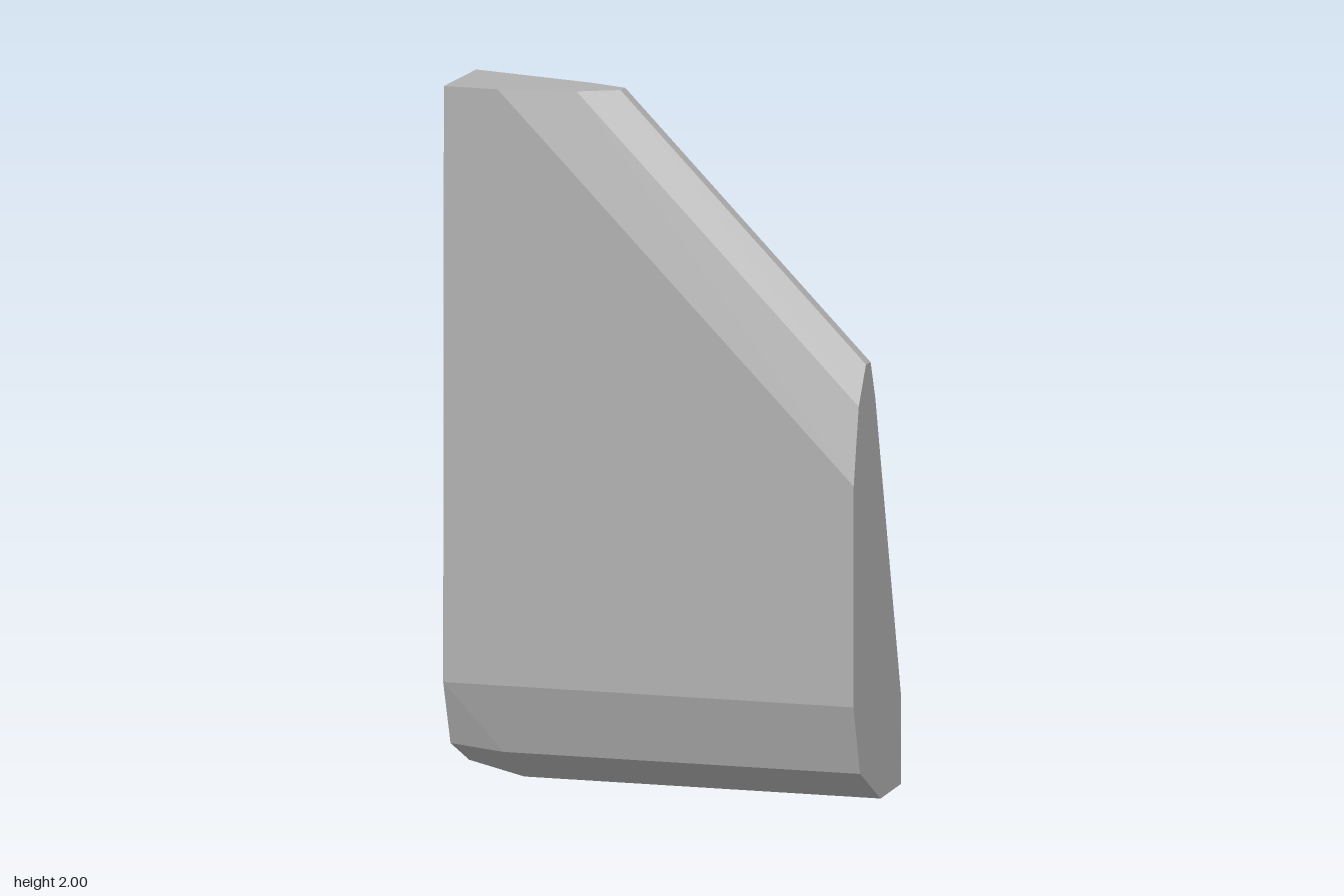
import * as THREE from 'three';
import { ConvexGeometry } from 'three/addons/geometries/ConvexGeometry.js';

export function createModel() {
  const group = new THREE.Group();
  const grey = new THREE.MeshStandardMaterial({ color: 0xb0b0b0 });
  grey.name = 'plain grey';

  // flat top outline: [x, z]
  const top = [[-0.61, -0.08], [-0.24, 0.01], [-0.12, 0.055], [-0.12, 0.095],
    [-0.23, 0.155], [-0.45, 0.197], [-0.61, 0.197]];
  // low end outline at x = 0.61: [z, y]
  const lowEnd = [[0.203, 0.3], [0.2, 0.93], [0.157, 1.15], [0.095, 1.26], [0.055, 1.26],
    [0.015, 1.15], [-0.203, 0.27], [-0.203, 0.012], [-0.03, 0], [0.145, 0.1]];
  // bottom bevel, where the corner begins to rise at x = -0.45
  const bevel = [[-0.203, 0.012], [-0.03, 0], [0.145, 0.1]];
  // tall end, lower outline at x = -0.61
  const tallEnd = [[0.203, 0.3], [0.14, 0.115], [-0.02, 0.04], [-0.203, 0.055], [-0.203, 0.27]];

  const points = top.map(([x, z]) => new THREE.Vector3(x, 2, z));
  for (const [x, outline] of [[0.61, lowEnd], [-0.45, bevel], [-0.61, tallEnd]])
    for (const [z, y] of outline) points.push(new THREE.Vector3(x, y, z));

  // one solid, faceted slab
  const slab = new THREE.Mesh(new ConvexGeometry(points), grey);
  slab.name = 'taperedSlab';
  group.add(slab);
  return group;
}
